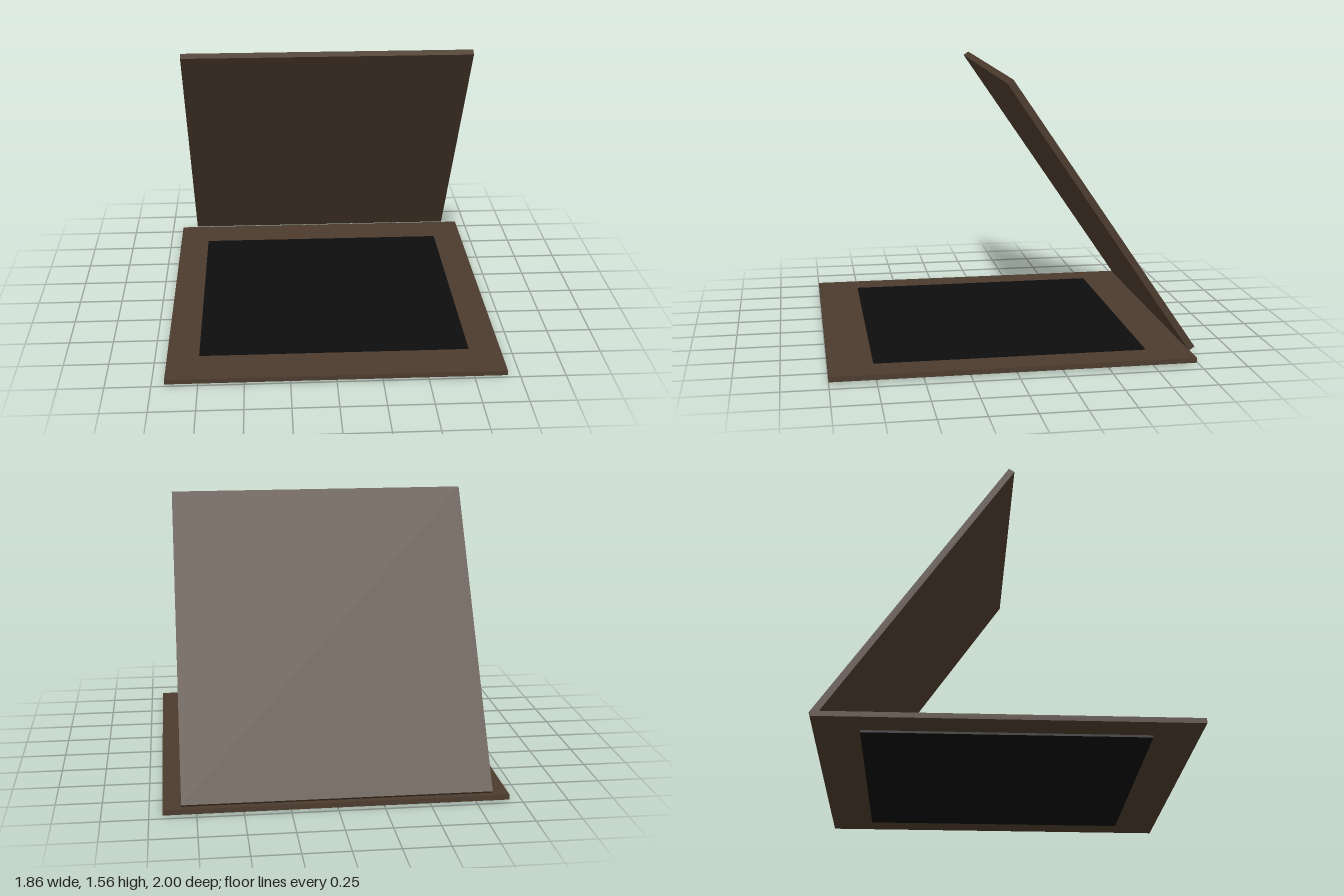
import * as THREE from 'three';

export function createModel() {
  const model = new THREE.Group();
  model.name = 'openHatch';

  const wood = new THREE.MeshStandardMaterial({ color: 0x4c3b2d });
  wood.name = 'dark brown wood';
  const black = new THREE.MeshStandardMaterial({ color: 0x0d0d0d });
  black.name = 'black opening';

  // Box helper: size and centre
  const box = (name, material, size, position) => {
    const mesh = new THREE.Mesh(new THREE.BoxGeometry(...size), material);
    mesh.name = name;
    mesh.position.set(...position);
    model.add(mesh);
    return mesh;
  };

  // Flat frame lying on the ground
  box('frame', wood, [1.856, 0.028, 1.984], [0, 0.026, 0.008]);

  // Black opening, slightly proud of the frame above and below
  box('opening', black, [1.5, 0.045, 1.5], [0, 0.0225, 0.006]);

  // Lid raised from the back edge, leaning forward over the opening
  const lid = box('lid', wood, [1.66, 1.8, 0.037], [0, 0.804, -0.478]);
  lid.rotation.x = 0.599;

  return model;
}
